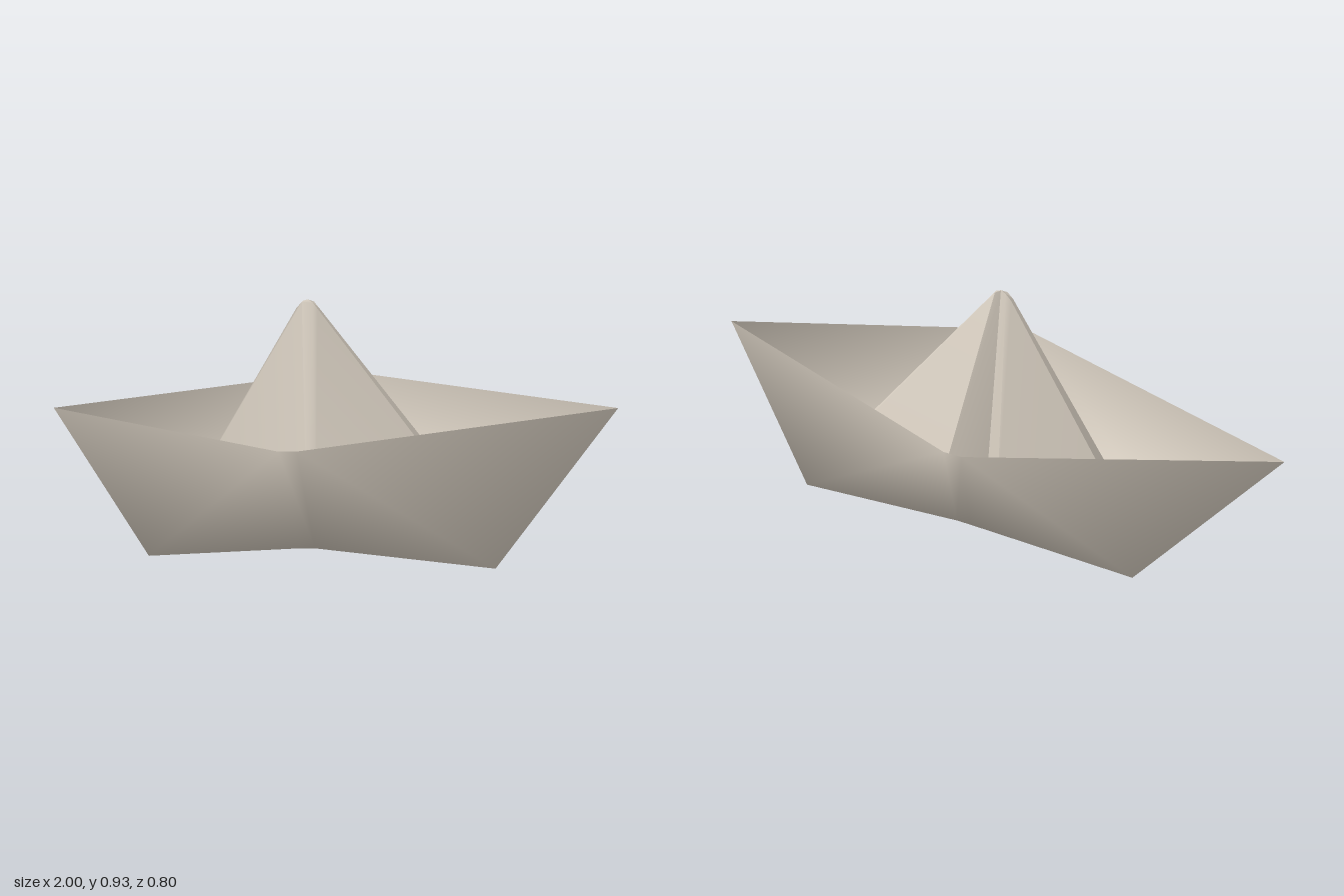
import * as THREE from 'three';
import { toCreasedNormals } from 'three/addons/utils/BufferGeometryUtils.js';

const paper = new THREE.MeshStandardMaterial({ color: 0xd8cfc2, side: THREE.DoubleSide });
paper.name = 'cream paper';

function buildGeometry(points, index) {
  const geometry = new THREE.BufferGeometry();
  geometry.setAttribute('position', new THREE.Float32BufferAttribute(points.flat(), 3));
  geometry.setIndex(index);
  geometry.computeVertexNormals();
  return geometry;
}

function part(name, geometry) {
  const mesh = new THREE.Mesh(geometry, paper);
  mesh.name = name;
  return mesh;
}

// Folded hull: two pointed ends, flared sides, flat triangular end faces, bent floor
function hullGeometry() {
  const side = [
    [-0.03, 0.543, 0.402], [0.03, 0.549, 0.402],  // rim at the middle
    [-0.575, 0, 0.2],                             // low corner of the -x end
    [0, 0.125, 0.246], [0.05, 0.131, 0.246],      // raised middle of the floor
    [0.655, 0.105, 0.2],                          // low corner of the +x end
  ];
  const points = [[-1, 0.46, 0], [1, 0.63, 0], ...side, ...side.map(([x, y, z]) => [x, y, -z])];
  const wall = [
    [0, 4, 2], [2, 4, 5], [2, 5, 6], [2, 6, 3], [3, 6, 7], [3, 7, 1],
  ];
  const index = [];
  const opposite = (i) => (i < 2 ? i : i + 6);
  for (const [a, b, c] of wall) {
    index.push(a, b, c, opposite(a), opposite(c), opposite(b));
  }
  // Floor strips across the hull
  for (const i of [4, 5, 6]) {
    index.push(i, i + 6, i + 7, i, i + 7, i + 1);
  }
  // End faces
  index.push(0, 10, 4, 1, 7, 13);
  return buildGeometry(points, index);
}

// Peaked sail: narrow ends, broad front, and an inward fold down the back
function sailGeometry() {
  const base = [
    [0.652, 0.107, 0.035], [0.652, 0.107, -0.035],
    [0.15, 0.13, -0.218], [-0.01, 0.13, -0.11], [-0.085, 0.115, -0.22],
    [-0.575, 0.005, -0.035], [-0.575, 0.005, 0.035],
    [0.02, 0.13, 0.232], [0.05, 0.132, 0.232],
  ];
  const top = [
    [0.005, 0.9, 0.009], [0.005, 0.9, -0.009],
    [-0.012, 0.921, -0.008], [-0.03, 0.924, -0.001], [-0.05, 0.921, -0.008],
    [-0.068, 0.9, -0.009], [-0.068, 0.9, 0.009],
    [-0.05, 0.921, 0.008], [-0.012, 0.921, 0.008],
  ];
  const n = base.length;
  const index = [];
  for (let i = 0; i < n; i++) {
    const j = (i + 1) % n;
    index.push(i, j, n + j, i, n + j, n + i);
    index.push(n + i, n + j, 2 * n);  // rounded tip
  }
  const geometry = buildGeometry([...base, ...top, [-0.031, 0.929, 0]], index);
  return toCreasedNormals(geometry, 0.6);
}

export function createModel() {
  const boat = new THREE.Group();
  boat.name = 'paperBoat';
  boat.add(part('hull', hullGeometry()), part('sail', sailGeometry()));
  return boat;
}
